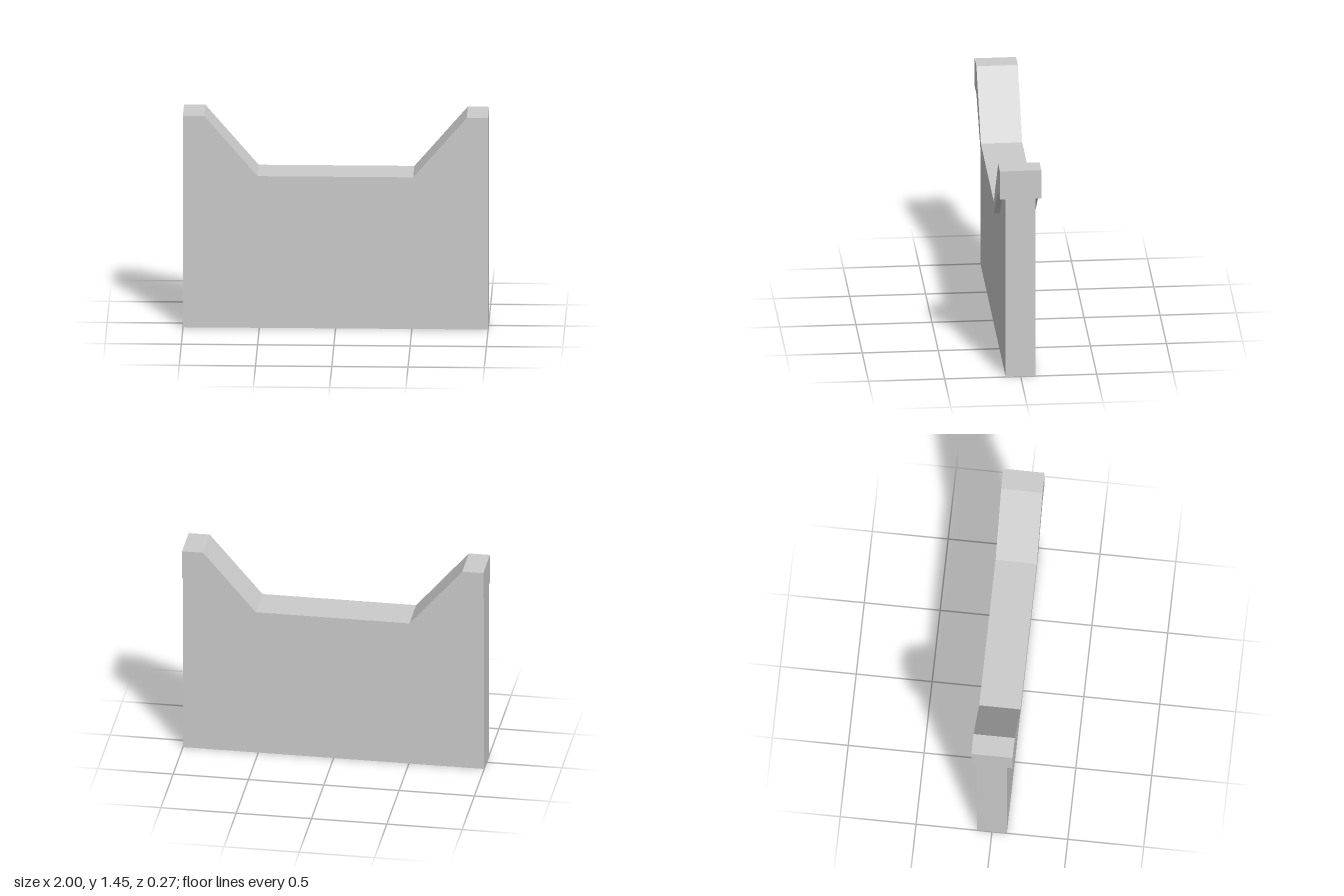
import * as THREE from 'three';

// Right half of the stepped outlines, from the centre outwards
const copingTop = [[0.51, 1.045], [0.86, 1.452], [1, 1.452]];
const copingBottom = [[0.51, 0.96], [0.86, 1.254], [1, 1.254]];

// Full left-to-right line made by mirroring a half outline
const mirrorLine = (half) => [
  ...half.map(([x, y]) => [-x, y]).reverse(),
  ...half,
];

// Extrude a closed outline, centred on z = 0
function slab(name, points, depth, material) {
  const shape = new THREE.Shape(points.map(([x, y]) => new THREE.Vector2(x, y)));
  const geometry = new THREE.ExtrudeGeometry(shape, { depth, bevelEnabled: false });
  geometry.translate(0, 0, -depth / 2);
  const mesh = new THREE.Mesh(geometry, material);
  mesh.name = name;
  return mesh;
}

export function createModel() {
  const group = new THREE.Group();
  group.name = 'dippedWall';
  const material = new THREE.MeshStandardMaterial({ color: 0xcccccc });

  const top = mirrorLine(copingTop);
  const seam = mirrorLine(copingBottom);

  // Wall panel, reaching up to the underside of the coping
  group.add(slab('wallPanel', [[-1, 0], [1, 0], ...[...seam].reverse()], 0.196, material));

  // Wider coping that follows the dip and overhangs front and back
  group.add(slab('coping', [...seam, ...[...top].reverse()], 0.272, material));

  return group;
}
